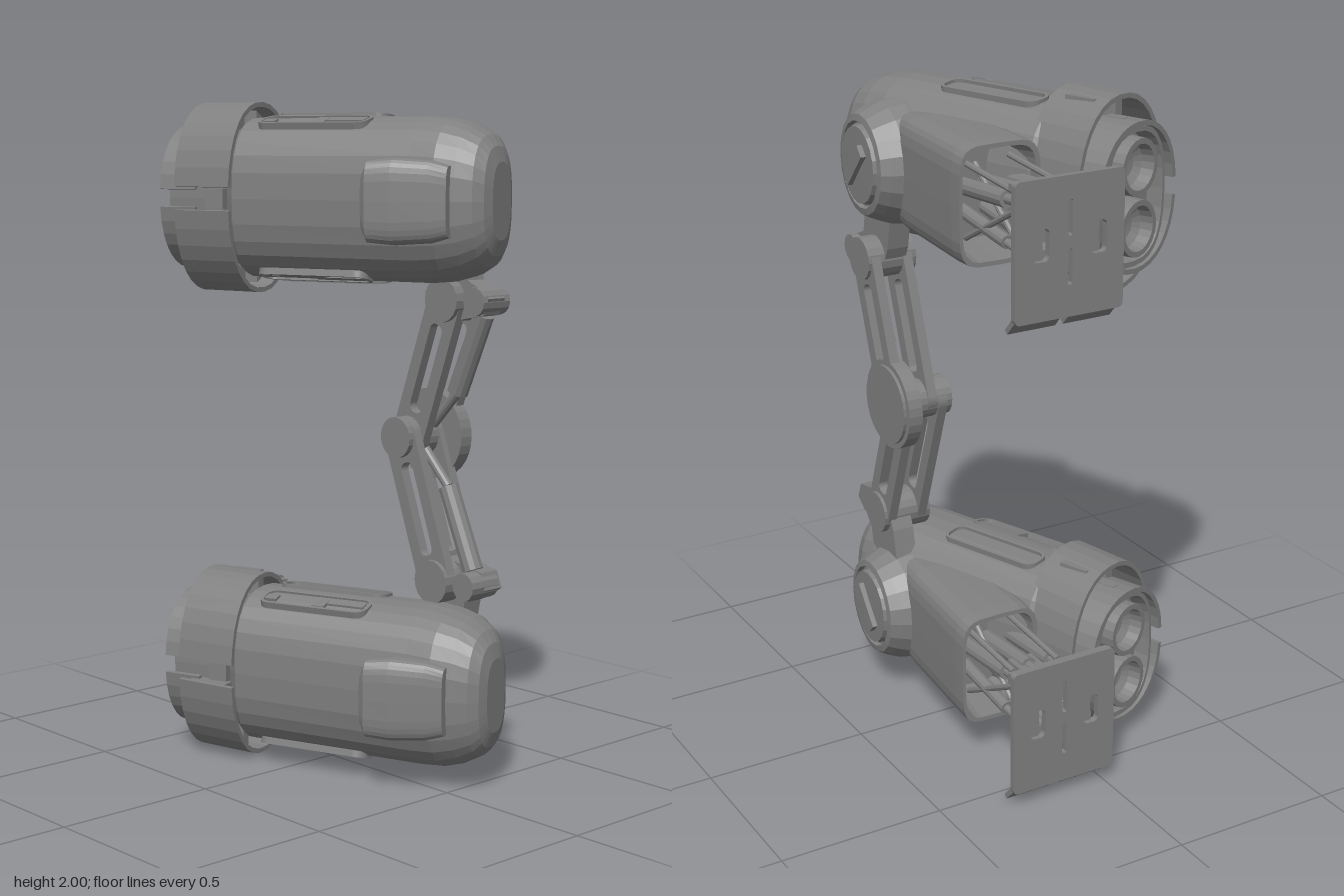
import * as THREE from 'three';

const mat = new THREE.MeshStandardMaterial({ color: 0x808080, flatShading: true });
const openMat = mat.clone();
openMat.side = THREE.DoubleSide;
const V = (x, y, z) => new THREE.Vector3(x, y, z);

function add(parent, name, geo, material = mat) {
  const m = new THREE.Mesh(geo, material);
  m.name = name;
  parent.add(m);
  return m;
}

const box = (p, name, w, h, d, x, y, z) => add(p, name, new THREE.BoxGeometry(w, h, d).translate(x, y, z));

// cylinder between two points
function rod(p, name, a, b, r, sides = 12) {
  const d = b.clone().sub(a);
  const m = add(p, name, new THREE.CylinderGeometry(r, r, d.length(), sides));
  m.position.copy(a).addScaledVector(d, 0.5);
  m.quaternion.setFromUnitVectors(V(0, 1, 0), d.normalize());
  return m;
}

// disc with its axis along x
const disc = (p, name, r, x0, x1, y, z, sides = 24) => rod(p, name, V(x0, y, z), V(x1, y, z), r, sides);

// point on a rounded-square curve
function squircle(a, hx, hy, n) {
  const c = Math.cos(a), s = Math.sin(a);
  return [hx * Math.sign(c) * Math.abs(c) ** (2 / n), hy * Math.sign(s) * Math.abs(s) ** (2 / n)];
}

// skin over cross-sections [z, halfWidth, halfHeight, centreX], closed at both ends
function loft(sections, n, sides = 28) {
  const pos = [], idx = [];
  for (const [z, hx, hy, cx = 0] of sections)
    for (let j = 0; j < sides; j++) {
      const [x, y] = squircle((j / sides) * Math.PI * 2, hx, hy, n);
      pos.push(x + cx, y, z);
    }
  const last = sections.length - 1;
  for (let i = 0; i < last; i++)
    for (let j = 0; j < sides; j++) {
      const k = (j + 1) % sides, a = i * sides, b = a + sides;
      idx.push(a + j, a + k, b + k, a + j, b + k, b + j);
    }
  for (let j = 1; j < sides - 1; j++) {
    idx.push(0, j + 1, j, last * sides, last * sides + j, last * sides + j + 1);
  }
  const g = new THREE.BufferGeometry();
  g.setAttribute('position', new THREE.Float32BufferAttribute(pos, 3));
  g.setIndex(idx);
  g.computeVertexNormals();
  return g;
}

function roundRect(w, h, r, cx = 0, cy = 0, T = THREE.Shape) {
  const s = new T(), x = w / 2 - r, y = h / 2 - r;
  s.absarc(cx + x, cy + y, r, 0, Math.PI / 2);
  s.absarc(cx - x, cy + y, r, Math.PI / 2, Math.PI);
  s.absarc(cx - x, cy - y, r, Math.PI, Math.PI * 1.5);
  s.absarc(cx + x, cy - y, r, Math.PI * 1.5, Math.PI * 2);
  s.closePath();
  return s;
}

const extrude = (shape, depth) => new THREE.ExtrudeGeometry(shape, { depth, bevelEnabled: false, curveSegments: 5 });

function frame(w, h, r, t, depth) {
  const s = roundRect(w, h, r);
  s.holes.push(roundRect(w - 2 * t, h - 2 * t, r - t, 0, 0, THREE.Path));
  return extrude(s, depth);
}

// thin tube wall, split by a slit on its -x side
function splitRing(hx, hy, t, depth) {
  const N = 32;
  const arc = (a, b) => Array.from({ length: N + 1 }, (_, i) =>
    new THREE.Vector2(...squircle(-Math.PI + 0.1 + (i / N) * (2 * Math.PI - 0.2), a, b, 2.2)));
  return extrude(new THREE.Shape([...arc(hx, hy), ...arc(hx - t, hy - t).reverse()]), depth);
}

// shape drawn in (z, y), given thickness from x0 to x1
const sidePlate = (shape, x0, x1) => extrude(shape, x1 - x0).rotateY(-Math.PI / 2).translate(x1, 0, 0);

// slotted link bar between two (z, y) points
function link(p, name, a, b, x0, x1) {
  const L = Math.hypot(b[0] - a[0], b[1] - a[1]);
  const s = roundRect(0.13, L + 0.1, 0.05);
  s.holes.push(roundRect(0.05, L - 0.16, 0.02, 0, 0, THREE.Path));
  const g = extrude(s, x1 - x0).rotateZ(Math.atan2(b[1] - a[1], b[0] - a[0]) - Math.PI / 2);
  g.translate((a[0] + b[0]) / 2, (a[1] + b[1]) / 2, 0).rotateY(-Math.PI / 2).translate(x1, 0, 0);
  add(p, name, g);
}

const latheX = (prof, sides) =>
  new THREE.LatheGeometry(prof.map(c => new THREE.Vector2(c[0], c[1])), sides).rotateZ(-Math.PI / 2);

// slanted main shell with collar, lamps and panels; z runs from back to front
function createShell() {
  const g = new THREE.Group();
  g.name = 'shell';
  add(g, 'body', loft([
    [0.06, 0.125, 0.175], [0.01, 0.13, 0.185], [0.01, 0.14, 0.2], [0.2, 0.145, 0.2], [0.25, 0.183, 0.238],
    [0.82, 0.19, 0.24], [0.9, 0.185, 0.232, -0.01], [0.96, 0.166, 0.215, -0.014], [1.01, 0.136, 0.187, -0.028],
    [1.037, 0.1, 0.155, -0.042], [1.05, 0.065, 0.11, -0.045]], 2.6));

  // split collar standing off the body, leaning slightly, and the rim behind it
  const collar = splitRing(0.2, 0.283, 0.014, 0.2);
  collar.applyMatrix4(new THREE.Matrix4().set(1, 0, -0.12, -0.006, 0, 1, 0, 0, 0, 0, 1, 0.065, 0, 0, 0, 1));
  add(g, 'collar', collar);
  add(g, 'rearRim', splitRing(0.18, 0.217, 0.014, 0.12));
  for (const y of [-1, 1]) {
    for (const x of [-0.05, 0.05]) box(g, 'collarStrut', 0.03, 0.085, 0.1, x, y * 0.23, 0.16);
    box(g, 'collarLatch', 0.05, 0.02, 0.13, -0.18, y * 0.045, 0.16);
    box(g, 'rimStrut', 0.025, 0.04, 0.06, 0, y * 0.198, 0.08);
  }
  box(g, 'collarSideStrut', 0.06, 0.05, 0.1, 0.16, 0, 0.17);
  box(g, 'collarHinge', 0.05, 0.06, 0.06, -0.16, 0, 0.19);

  // pair of stacked round lamps in the back
  for (const y of [-0.088, 0.088]) {
    const cup = [[0, 0.02], [0.04, 0.014], [0.062, 0], [0.066, -0.04], [0.082, -0.04], [0.085, 0.03]];
    const geo = new THREE.LatheGeometry(cup.map(c => new THREE.Vector2(c[0], c[1])), 20);
    add(g, 'lamp', geo.rotateX(Math.PI / 2).translate(0, y, 0.035), openMat);
  }

  // long panels above and below
  for (const up of [1, -1])
    for (const [x, y, tilt] of [[-0.09, 0.222, 0.25], [0.045, 0.235, -0.1]]) {
      const holder = new THREE.Group();
      holder.name = 'panel';
      holder.position.set(x, up * y, 0.48);
      holder.rotation.z = up * tilt;
      const f = frame(0.092, 0.36, 0.035, 0.01, 0.02).translate(0, 0, -0.01).rotateX(-Math.PI / 2);
      add(holder, 'panelFrame', f);
      if (x < 0) {
        box(holder, 'panelSlide', 0.035, 0.015, 0.16, 0.012, 0, 0.08);
        box(holder, 'panelCatch', 0.05, 0.017, 0.04, -0.005, 0, 0.02);
        box(holder, 'panelStop', 0.03, 0.015, 0.04, 0, 0, -0.15);
      }
      g.add(holder);
    }

  // nose panel, bent to follow the nose
  const nose = frame(0.14, 0.33, 0.028, 0.012, 0.045);
  const q = nose.attributes.position;
  for (let i = 0; i < q.count; i++) q.setZ(i, q.getZ(i) - 1.7 * q.getY(i) ** 2 - 3 * q.getX(i) ** 2);
  nose.computeVertexNormals();
  add(g, 'nosePanel', nose.translate(-0.045, 0, 1.015));

  // wedge-shaped cheek pad
  add(g, 'cheekPad', loft([[0.712, 0.028, 0.08, -0.235], [0.73, 0.045, 0.115, -0.23], [0.8, 0.055, 0.122, -0.206],
    [0.9, 0.05, 0.115, -0.18], [0.95, 0.035, 0.1, -0.172]], 4));
  return g;
}

// back plate held by pistons
function createPlate() {
  const g = new THREE.Group();
  g.name = 'plateAssembly';
  const s = roundRect(0.34, 0.39, 0.015, 0.14, -0.045);
  for (const x of [0.05, 0.23]) s.holes.push(roundRect(0.05, 0.09, 0.015, x, -0.03, THREE.Path));
  for (const y of [0.035, -0.1]) s.holes.push(roundRect(0.014, 0.1, 0.006, 0.14, y, THREE.Path));
  add(g, 'backPlate', extrude(s, 0.02).translate(0, 0, -0.6));
  box(g, 'plateTopLip', 0.33, 0.02, 0.035, 0.14, 0.13, -0.575);
  for (const x of [0.057, 0.232]) {
    const flap = box(g, 'plateFlap', 0.15, 0.055, 0.015, 0, 0, 0);
    flap.position.set(x, -0.25, -0.567);
    flap.rotation.x = -0.75;
    box(g, 'plateRib', 0.03, 0.32, 0.025, x, -0.04, -0.572);
  }
  for (const x of [0.07, 0.145, 0.22]) {
    for (const y of [0.06, -0.085]) {
      // tapered clevis with its pin
      add(g, 'clevis', new THREE.CylinderGeometry(0.02, 0.05, 0.075, 4, 1).rotateY(Math.PI / 4)
        .rotateX(Math.PI / 2).translate(x, y, -0.542));
      disc(g, 'clevisPin', 0.02, x - 0.035, x + 0.035, y, -0.515, 10);
    }
    rod(g, 'pistonSleeve', V(x, 0.03, -0.16), V(x, 0.05, -0.41), 0.025);
    rod(g, 'pistonRod', V(x, 0.05, -0.4), V(x, 0.06, -0.53), 0.014);
    rod(g, 'lowerSleeve', V(x, -0.04, -0.16), V(x, -0.07, -0.41), 0.02);
    rod(g, 'lowerRod', V(x, -0.07, -0.4), V(x, -0.085, -0.53), 0.012);
  }
  for (const x of [0.07, 0.22]) {
    rod(g, 'crossRod', V(x + 0.02, 0.11, -0.2), V(x + 0.02, 0.09, -0.48), 0.009, 8);
    rod(g, 'diagonalRod', V(x - 0.02, 0.1, -0.2), V(x - 0.02, -0.11, -0.48), 0.009, 8);
    rod(g, 'diagonalRod', V(x + 0.01, -0.11, -0.2), V(x + 0.01, 0.05, -0.5), 0.009, 8);
  }
  box(g, 'guideBlock', 0.08, 0.13, 0.11, 0.145, -0.01, -0.41);
  return g;
}

// one whole pod; dir is +1 when its arm leaves downward, -1 upward
function createPod(dir) {
  const pod = new THREE.Group();
  pod.name = dir > 0 ? 'upperPod' : 'lowerPod';
  const shell = createShell();
  shell.position.set(-0.19, 0, -0.43);
  shell.rotation.y = 0.35;
  pod.add(shell, createPlate());

  // side housing, hollow at the back
  add(pod, 'sideHousing', loft([[-0.12, 0.1, 0.14, 0.17], [-0.288, 0.118, 0.16, 0.172], [-0.288, 0.13, 0.173, 0.17],
    [-0.24, 0.132, 0.176, 0.167], [0.1, 0.12, 0.175, 0.148], [0.28, 0.1, 0.165, 0.14]], 5));

  // shoulder joint
  const j = new THREE.Group();
  j.name = 'shoulder';
  j.position.set(0, 0.006 * dir, 0.25);
  j.rotation.y = -0.06;
  add(j, 'shoulderCap', latheX([[0.185, 0.04], [0.19, 0.2], [0.182, 0.25], [0.165, 0.29], [0.15, 0.318], [0.13, 0.322],
    [0.126, 0.308], [0.12, 0.308], [0.115, 0.328], [0, 0.33]], 20));
  const bar = box(j, 'shoulderBar', 0.04, 0.042, 0.15, 0.325, 0, 0);
  bar.rotation.x = dir * 0.8;
  pod.add(j);
  return pod;
}

// half of the folding arm, running from a shoulder down to the knee at y = 0
function createArm(shift, name) {
  const g = new THREE.Group();
  g.name = name;
  const s = new THREE.Shape();
  [[0.2, 0.6], [0.23, 0.46], [0.27, 0.37], [0.34, 0.36], [0.45, 0.38], [0.47, 0.43], [0.43, 0.46], [0.385, 0.48], [0.36, 0.6]]
    .forEach(([z, y], i) => (i ? s.lineTo(z, y) : s.moveTo(z, y)));
  s.closePath();
  add(g, 'armBracket', sidePlate(s, 0.185, 0.255));
  disc(g, 'upperPivot', 0.066, 0.15 + shift, 0.31 + shift, 0.42, 0.31, 18);
  disc(g, 'pistonPivot', 0.042, 0.17 + shift, 0.28 + shift, 0.42, 0.425, 14);
  for (const x of [0.165, 0.27]) link(g, 'armLink', [0.31, 0.42], [0.16, 0], x + shift, x + shift + 0.03);
  const x = 0.23 + shift;
  rod(g, 'armPistonSleeve', V(x, 0.38, 0.41), V(x, 0.14, 0.305), 0.032);
  rod(g, 'armPistonRod', V(x, 0.14, 0.305), V(x, 0.03, 0.2), 0.015);
  return g;
}

export function createModel() {
  const model = new THREE.Group();
  model.name = 'twinPods';
  for (const dir of [1, -1]) {
    const pod = createPod(dir);
    pod.position.y = dir > 0 ? 1.717 : 0.287;
    const arm = createArm(dir > 0 ? 0 : -0.035, dir > 0 ? 'upperArm' : 'lowerArm');
    // lower half is the upper one turned over about the knee
    arm.scale.y = dir;
    arm.position.y = 1.003;
    model.add(pod, arm);
  }
  // knee joint
  disc(model, 'kneeDisc', 0.138, 0.255, 0.3, 1.003, 0.16, 32);
  disc(model, 'kneeCover', 0.122, 0.3, 0.31, 1.003, 0.16, 32);
  disc(model, 'kneeHub', 0.062, 0.112, 0.255, 1.003, 0.16, 20);
  return model;
}
